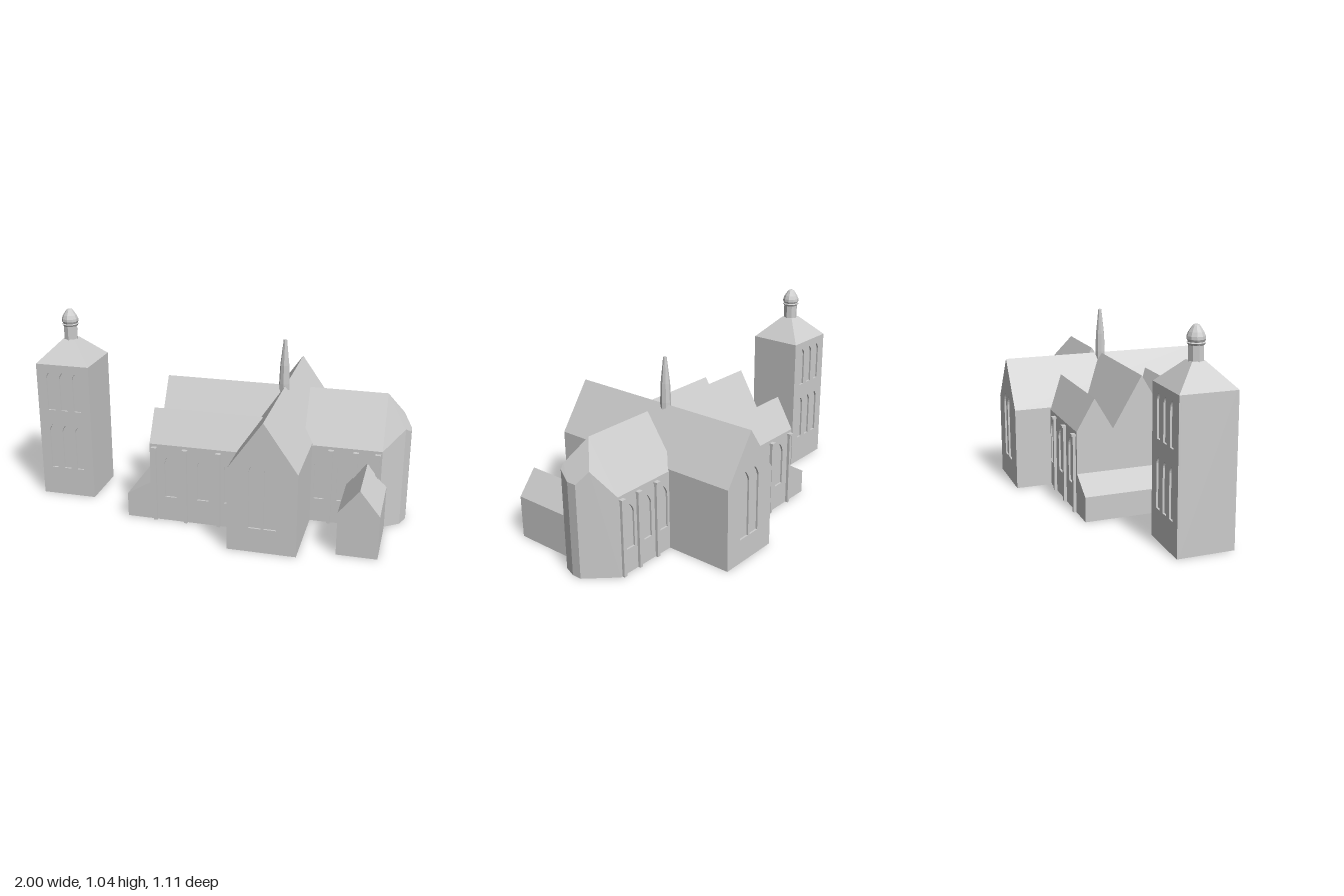
import * as THREE from 'three';
import { ConvexGeometry } from 'three/addons/geometries/ConvexGeometry.js';

const RECESS = 0.01;

export function createModel() {
  const model = new THREE.Group();
  model.name = 'church';
  const stone = new THREE.MeshStandardMaterial({ color: 0xcccccc });
  stone.name = 'pale grey stone';

  // Adds a mesh with crisp, faceted normals
  function add(name, geometry, x = 0, y = 0, z = 0, parent = model) {
    const g = geometry.index ? geometry.toNonIndexed() : geometry;
    g.computeVertexNormals();
    const mesh = new THREE.Mesh(g, stone);
    mesh.name = name;
    mesh.position.set(x, y, z);
    parent.add(mesh);
    return mesh;
  }

  const shapeOf = (pts) => new THREE.Shape(pts.map(([x, y]) => new THREE.Vector2(x, y)));
  const extrude = (shape, depth) =>
    new THREE.ExtrudeGeometry(shape, { depth, bevelEnabled: false, curveSegments: 4 });

  // Prism along z from an (x, y) outline
  const prismZ = (name, pts, z0, z1) => add(name, extrude(shapeOf(pts), z1 - z0), 0, 0, z0);
  // Prism along x from a (z, y) outline
  const prismX = (name, pts, x0, x1) =>
    add(name, extrude(shapeOf(pts.map(([z, y]) => [-z, y])), x1 - x0).rotateY(Math.PI / 2), x0);

  // Pointed-arch window opening
  function lancet([x, y0, y1, w]) {
    const h = w / 2, spring = y1 - w * 0.9, p = new THREE.Path();
    p.moveTo(x - h, y0);
    p.lineTo(x + h, y0);
    p.lineTo(x + h, spring);
    p.quadraticCurveTo(x + h * 0.9, spring + w * 0.45, x, y1);
    p.quadraticCurveTo(x - h * 0.9, spring + w * 0.45, x - h, spring);
    p.lineTo(x - h, y0);
    return p;
  }

  // Thin pierced walls on the front and back of a block
  function piercedWalls(name, pts, windows, zBack, zFront) {
    for (const [side, z] of [['Front', zFront - RECESS], ['Back', zBack]]) {
      const shape = shapeOf(pts);
      shape.holes = windows.map(lancet);
      add(name + side + 'Wall', extrude(shape, RECESS), 0, 0, z);
    }
  }
  const rect = (x0, x1, y1) => [[x0, 0], [x1, 0], [x1, y1], [x0, y1]];

  // Slim buttresses with caps on both long sides
  function buttresses(name, xs, zBack, zFront) {
    for (const x of xs) for (const [z, s] of [[zBack, -1], [zFront, 1]]) {
      const group = new THREE.Group();
      group.name = name + 'Buttress';
      model.add(group);
      add('shaft', new THREE.BoxGeometry(0.018, 0.405, 0.02), x, 0.2025, z + s * 0.005, group);
      add('cap', new THREE.BoxGeometry(0.028, 0.011, 0.026), x, 0.41, z + s * 0.009, group);
    }
  }

  // Bell tower
  const tx = -0.85, tz = 0.03, zb = -0.115, zf = 0.175;
  prismZ('towerBody', rect(-1, -0.7, 0.76), zb + RECESS, zf - RECESS);
  const towerWindows = [];
  for (const dx of [-0.075, 0, 0.075])
    towerWindows.push([tx + dx, 0.16, 0.415, 0.04], [tx + dx, 0.5, 0.72, 0.04]);
  piercedWalls('tower', rect(-1, -0.7, 0.76), towerWindows, zb, zf);
  const roof = new THREE.CylinderGeometry(0.035 * Math.SQRT2, 0.15 * Math.SQRT2, 0.115, 4);
  add('towerRoof', roof.rotateY(Math.PI / 4).scale(1, 1, 0.967), tx, 0.8175, tz);
  add('lantern', new THREE.CylinderGeometry(0.038, 0.038, 0.09, 8), tx, 0.905, tz);
  const dome = [[0, 0.94], [0.038, 0.945], [0.045, 0.956], [0.039, 0.96], [0.045, 0.972],
    [0.044, 0.986], [0.036, 1.005], [0.018, 1.032], [0.012, 1.037], [0, 1.038]];
  add('dome', new THREE.LatheGeometry(dome.map(([r, y]) => new THREE.Vector2(r, y)), 10), tx, 0, tz);

  // Nave and aisles under three parallel gabled roofs
  const nb = -0.361, nf = 0.334, eave = 0.43;
  prismX('nave', [
    [nb + RECESS, 0], [nf - RECESS, 0], [nf - RECESS, eave - 0.002], [nf, eave],
    [0.238, 0.595], [0.142, eave], [-0.013, 0.692], [-0.168, eave],
    [-0.265, 0.595], [nb, eave], [nb + RECESS, eave - 0.002],
  ], -0.31, 0.335);
  piercedWalls('nave', rect(-0.31, 0.18, eave),
    [-0.2, -0.025, 0.12].map((x) => [x, 0.135, 0.38, 0.062]), nb, nf);
  buttresses('nave', [-0.283, -0.118, 0.06], nb, nf);

  // Lean-to porch on the left end
  prismZ('porch', [[-0.44, 0], [-0.3, 0], [-0.3, 0.216], [-0.44, 0.13]], nb, nf);

  // Transept
  const gable = [[0.16, 0], [0.51, 0], [0.51, 0.44], [0.335, 0.69], [0.16, 0.44]];
  prismZ('transept', gable, -0.557 + RECESS, 0.557 - RECESS);
  piercedWalls('transept', gable, [0.3, 0.377].map((x) => [x, 0.13, 0.49, 0.064]), -0.557, 0.557);

  // Choir
  const cb = -0.19, cf = 0.147, cm = -0.016;
  prismX('choir', [
    [cb + RECESS, 0], [cf - RECESS, 0], [cf - RECESS, eave - 0.002], [cf, eave],
    [cm, 0.69], [cb, eave], [cb + RECESS, eave - 0.002],
  ], 0.465, 0.87);
  piercedWalls('choir', rect(0.465, 0.87, eave),
    [0.553, 0.672, 0.793].map((x) => [x, 0.13, 0.365, 0.055]), cb, cf);
  buttresses('choir', [0.61, 0.738, 0.85], cb, cf);

  // Apse: angled walls under a hipped end
  const plan = [[0.87, cb, eave], [1, -0.048, 0.5], [1, 0.005, 0.5], [0.975, 0.072, 0.535], [0.87, cf, eave]];
  const hull = [new THREE.Vector3(0.87, 0.69, cm),
    new THREE.Vector3(0.955, 0.565, -0.098), new THREE.Vector3(0.957, 0.562, 0.07)];
  for (const [x, z, y] of plan) hull.push(new THREE.Vector3(x, 0, z), new THREE.Vector3(x, y, z));
  add('apse', new ConvexGeometry(hull));

  // Side chapel
  prismZ('sideChapel', [[0.695, 0], [0.9, 0], [0.9, 0.23], [0.798, 0.357], [0.695, 0.23]], 0.13, 0.48);

  // Slender spire over the crossing
  const spire = [[0, 0.64], [0.027, 0.64], [0.028, 0.7], [0.024, 0.8], [0.009, 0.937], [0, 0.941]];
  add('crossingSpire', new THREE.LatheGeometry(spire.map(([r, y]) => new THREE.Vector2(r, y)), 8),
    0.327, 0, -0.014);

  return model;
}
